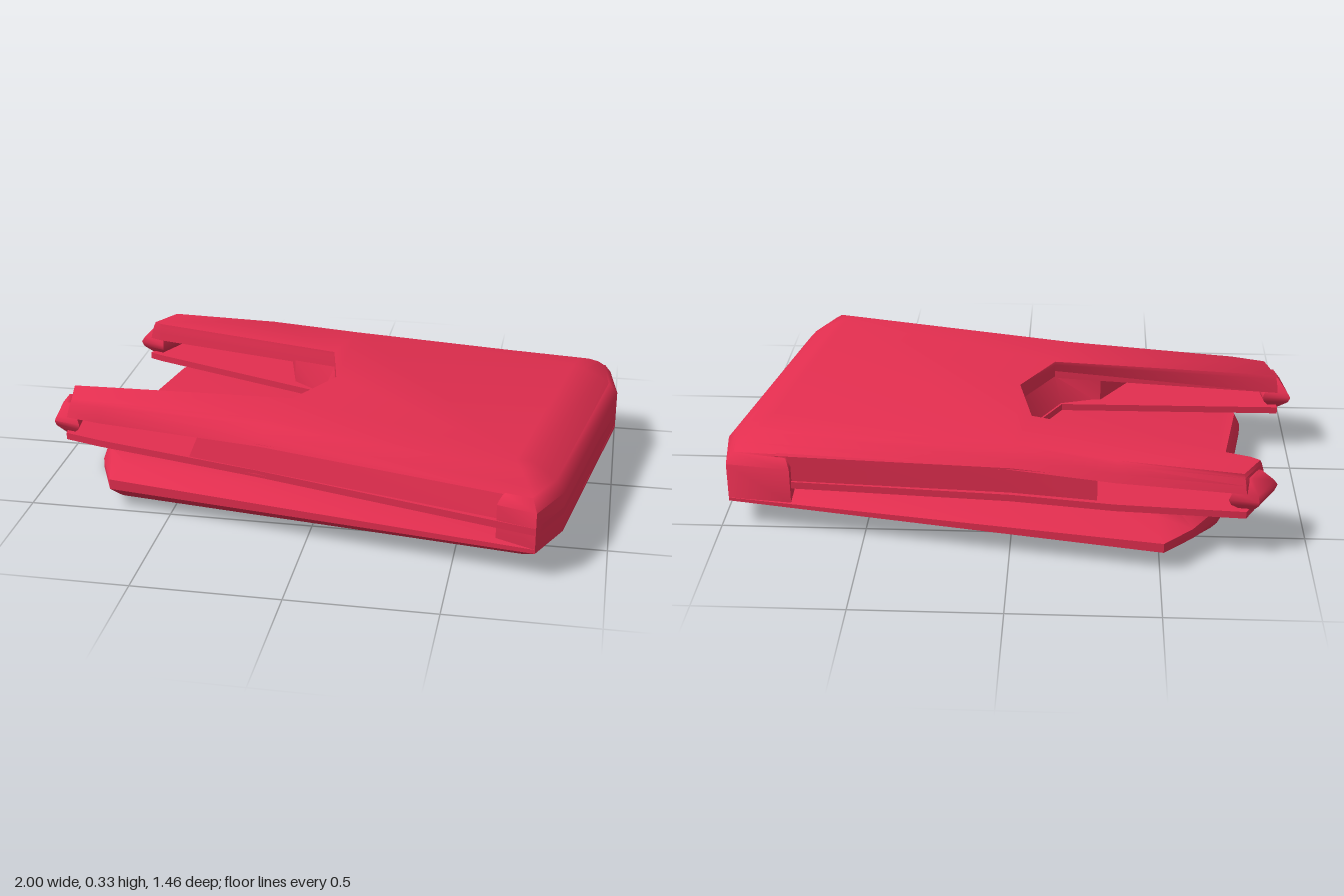
import * as THREE from 'three';
import { toCreasedNormals } from 'three/addons/utils/BufferGeometryUtils.js';

// Slight wedge: the top drops toward -x and the underside rises toward +x
function tilt(x, y) {
  if (y > 0.25 && x < 0) return y + 0.03 * x;
  if (y < 0.1) return y + 0.015 * (x + 0.8);
  return y;
}

// Move each outline point [x, z, inset] inward by its own inset times k
function insetRing(pts, k) {
  const n = pts.length;
  return pts.map((p, i) => {
    const a = pts[(i + n - 1) % n], b = pts[(i + 1) % n];
    const n1 = new THREE.Vector2(p[1] - a[1], a[0] - p[0]).normalize();
    const n2 = new THREE.Vector2(b[1] - p[1], p[0] - b[0]).normalize();
    const m = n1.clone().add(n2).normalize();
    const d = (k * (p[2] || 0)) / Math.max(m.dot(n1), 0.5);
    return new THREE.Vector2(p[0] - m.x * d, p[1] - m.y * d);
  });
}

// Closed solid from an outline and levels [y, inset factor]
function loft(outline, levels, crease) {
  const area = outline.reduce((s, p, i) => {
    const q = outline[(i + 1) % outline.length];
    return s + p[0] * q[1] - q[0] * p[1];
  }, 0);
  const pts = area > 0 ? outline : outline.slice().reverse();
  const n = pts.length, pos = [], idx = [];
  const rings = levels.map(([, k]) => insetRing(pts, k));
  rings.forEach((r, j) => r.forEach((v) => pos.push(v.x, tilt(v.x, levels[j][0]), v.y)));
  for (let j = 0; j < rings.length - 1; j++) {
    for (let i = 0; i < n; i++) {
      const a = j * n + i, b = j * n + ((i + 1) % n);
      idx.push(a, a + n, b + n, a, b + n, b);
    }
  }
  const last = rings.length - 1;
  for (const [a, b, c] of THREE.ShapeUtils.triangulateShape(rings[0], [])) idx.push(a, b, c);
  for (const [a, b, c] of THREE.ShapeUtils.triangulateShape(rings[last], [])) {
    idx.push(last * n + a, last * n + c, last * n + b);
  }
  const g = new THREE.BufferGeometry();
  g.setAttribute('position', new THREE.Float32BufferAttribute(pos, 3));
  g.setIndex(idx);
  return toCreasedNormals(g, crease);
}

export function createModel() {
  const group = new THREE.Group();
  const red = new THREE.MeshStandardMaterial({ color: 0xe22e4f });
  red.name = 'crimson';
  const add = (name, outline, levels, crease = 0.75) => {
    const mesh = new THREE.Mesh(loft(outline, levels, crease), red);
    mesh.name = name;
    group.add(mesh);
  };

  // Lower tray: wide rim, rounded underside, recessed bottom
  const tray = [
    [-0.51, -0.73, 0.2], [0.97, -0.49, 0.16], [1, -0.29, 0.13], [0.85, 0.56, 0.14],
    [0.77, 0.73, 0.14], [-0.72, 0.48, 0.1], [-0.79, 0.32, 0.05], [-0.82, 0.14, 0.035],
    [-0.72, -0.46, 0.04], [-0.61, -0.63, 0.1],
  ];
  add('lowerTray', tray, [
    [0.125, 1.05], [0.004, 1.05], [0.006, 0.95], [0.03, 0.45], [0.072, 0], [0.11, 0], [0.153, 0.6],
  ]);

  // Corners of the closed end shared by the upper layers
  const endCorners = [[0.97, -0.49, 0.12], [1, -0.29, 0.15], [0.85, 0.56, 0.15], [0.77, 0.73, 0.14]];

  // Closed end wall tying tray and upper shell together, rounded at its corners
  add('endWall', [[0.75, -0.52, 0.07], ...endCorners, [0.64, 0.69, 0.1]],
    [[0.085, 0], [0.24, 0], [0.275, 0.2]], 1.3);

  // Fork outline: two legs around the notch
  const backLeg = [[-0.78, -0.64, 0.02], [-0.85, -0.508, 0.015], [-0.8, -0.485, 0.01]];
  const notch = [[-0.06, -0.27], [-0.01, -0.03], [-0.13, 0.18]];
  const frontLeg = [[-0.955, 0.137, 0.01], [-0.935, 0.29, 0.025], [-0.8, 0.33, 0.03]];
  const backSide = [[0, -0.56, 0.07], [-0.35, -0.61, 0.04]];
  const fork = (notchInset) => [
    ...endCorners, [-0.2, 0.47, 0.1], ...frontLeg.slice().reverse(),
    ...notch.slice().reverse().map(([x, z]) => [x, z, notchInset]),
    ...backLeg.slice().reverse(), ...backSide.slice().reverse(),
  ];
  add('upperShell', fork(0), [[0.272, 0.2], [0.3, 0.45], [0.325, 0.8], [0.338, 1.1]], 1.1);

  // Thin floor of the upper layer, running under the legs
  const floor = fork(-0.05).map(([x, z, d]) => [x, z, d < 0 ? d : 0]);
  add('upperFloor', floor, [[0.16, 1], [0.185, 1]]);

  // Solid core between floor and shell: front side and notch slope, legs stay open
  const core = [
    [0.8, -0.495, 0], [0.68, 0.66, -0.03], [-0.2, 0.445, -0.025], [-0.42, 0.39, -0.025],
    [-0.3, 0.172, 0],
    ...notch.slice().reverse().map(([x, z]) => [x, z, -0.05]),
    [-0.22, -0.317, 0], [-0.29, -0.585, 0], [0, -0.545, 0],
  ];
  add('core', core, [[0.17, 1], [0.278, 0]]);

  // Blunt pointed noses closing the leg tips
  const nose = (name, list) => add(name, list.map(([x, z]) => [x, z, 0.04]),
    [[0.165, 1], [0.205, 0.15], [0.225, 0], [0.27, 0.2], [0.315, 1]], 1.1);
  nose('frontLegNose', [[-1, 0.135], [-0.98, 0.28], [-0.88, 0.305], [-0.9, 0.138]]);
  nose('backLegNose', [[-0.82, -0.645], [-0.89, -0.52], [-0.79, -0.485], [-0.72, -0.633]]);

  return group;
}
